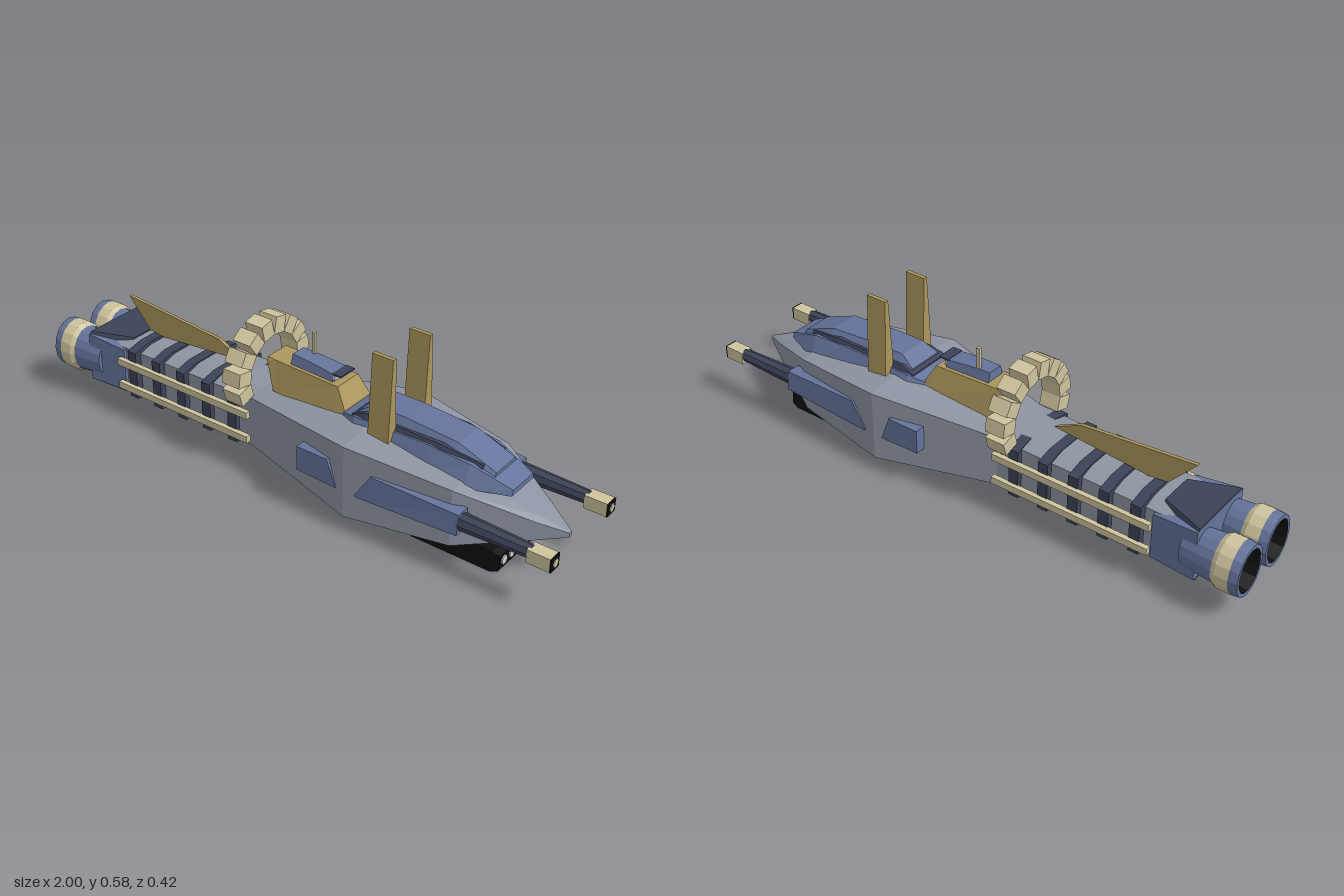
import * as THREE from 'three';

const mat = (name, color) => Object.assign(new THREE.MeshStandardMaterial({ color }), { name });

export function createModel() {
  const root = new THREE.Group();
  root.name = 'spaceship';
  const grey = mat('hull grey', 0x8d94a1), blue = mat('armour blue', 0x66749c), dark = mat('dark slate', 0x3d4358);
  const gold = mat('gold', 0xab965c), cream = mat('cream', 0xcfc49e), black = mat('black', 0x0e0e0e);
  const white = mat('lamp white', 0xd0d0d6);

  // Adds a mesh with faceted normals
  function add(name, geo, material, parent = root) {
    const g = geo.index ? geo.toNonIndexed() : geo;
    g.computeVertexNormals();
    const m = new THREE.Mesh(g, material);
    m.name = name;
    parent.add(m);
    return m;
  }

  // Cross-sections run towards +x; points go from the top round by +z
  const quad = (x, lo, wLo, hi, wHi, zc = 0) =>
    [[x, hi, zc - wHi], [x, hi, zc + wHi], [x, lo, zc + wLo], [x, lo, zc - wLo]];
  const oct = (x, w, lo, hi, b = 0.015, k = 0.52) => [
    [x, hi + b, -w * k], [x, hi + b, w * k], [x, hi, w], [x, lo, w],
    [x, lo - b, w * k], [x, lo - b, -w * k], [x, lo, -w], [x, hi, -w]];

  function loft(sections) {
    const n = sections[0].length, pos = [];
    const tri = (...p) => p.forEach(v => pos.push(...v));
    for (let s = 0; s < sections.length - 1; s++) {
      const a = sections[s], b = sections[s + 1];
      for (let i = 0; i < n; i++) {
        const j = (i + 1) % n;
        tri(a[i], a[j], b[i]);
        tri(a[j], b[j], b[i]);
      }
    }
    const first = sections[0], last = sections[sections.length - 1];
    for (let i = 1; i < n - 1; i++) {
      tri(first[0], first[i + 1], first[i]);
      tri(last[0], last[i], last[i + 1]);
    }
    const g = new THREE.BufferGeometry();
    g.setAttribute('position', new THREE.Float32BufferAttribute(pos, 3));
    return g;
  }

  const box = (x0, x1, y0, y1, z0, z1) => new THREE.BoxGeometry(x1 - x0, y1 - y0, z1 - z0)
    .translate((x0 + x1) / 2, (y0 + y1) / 2, (z0 + z1) / 2);

  // Flat outline in x and y, given thickness around z
  function plate(points, thick, z = 0) {
    const shape = new THREE.Shape(points.map(p => new THREE.Vector2(...p)));
    return new THREE.ExtrudeGeometry(shape, { depth: thick, bevelEnabled: false }).translate(0, 0, z - thick / 2);
  }

  // Turned part about an x axis; points are [radius, x] going from front to back
  function turned(points, y, z, sides = 16, squash = 1) {
    return new THREE.LatheGeometry(points.map(([r, x]) => new THREE.Vector2(r, -x)), sides)
      .rotateZ(Math.PI / 2).scale(1, 1, squash).translate(0, y, z);
  }

  // Main hull
  add('hull', loft([
    oct(-0.8, 0.105, 0.1, 0.25), oct(-0.13, 0.115, 0.09, 0.268), oct(0.3, 0.208, 0.055, 0.305),
    oct(0.65, 0.157, 0.077, 0.272, 0.008), oct(0.87, 0.052, 0.137, 0.2, 0.008), oct(0.955, 0.007, 0.16, 0.175, 0.001),
  ]), grey);

  // Ribs round the rear section
  for (const x of [-0.645, -0.535, -0.425, -0.315, -0.205])
    add('rib', loft([oct(x - 0.018, 0.132, 0.09, 0.265), oct(x + 0.018, 0.132, 0.09, 0.265)]), dark);

  // Engine mount with dark top and bottom
  add('engineMount', loft([quad(-0.85, 0.09, 0.13, 0.265, 0.13), quad(-0.695, 0.09, 0.118, 0.25, 0.118)]), blue);
  add('engineMountTop', loft([quad(-0.85, 0.262, 0.125, 0.273, 0.12), quad(-0.7, 0.25, 0.07, 0.272, 0.06)]), dark);
  add('engineMountBottom', loft([quad(-0.85, 0.082, 0.12, 0.092, 0.125), quad(-0.7, 0.082, 0.11, 0.092, 0.115)]), dark);

  for (const s of [1, -1]) {
    const side = new THREE.Group();
    side.name = s > 0 ? 'leftSide' : 'rightSide';
    root.add(side);

    // Engine: neck, band, lip and black throat
    const ez = s * 0.083, sq = 0.83;
    add('engineNeck', turned([[0, -0.8], [0.07, -0.8], [0.077, -0.86], [0.083, -0.92]], 0.172, ez, 16, sq), blue, side);
    add('engineBand', turned([[0.083, -0.91], [0.092, -0.925], [0.092, -0.97]], 0.172, ez, 16, sq), cream, side);
    add('engineLip', turned([[0.092, -0.97], [0.088, -1], [0.074, -1]], 0.172, ez, 16, sq), blue, side);
    add('engineThroat', turned([[0.074, -1], [0.055, -0.9], [0, -0.89]], 0.172, ez, 16, sq), black, side);

    // Long rails beside the ribs
    for (const y of [0.127, 0.217])
      add('rail', box(-0.7, -0.13, y - 0.012, y + 0.012, s * 0.138 - 0.009, s * 0.138 + 0.009), cream, side);

    // Rear side panel and gun housing
    add('sidePanel', plate([[0.12, 0.15], [0.27, 0.145], [0.235, 0.235], [0.12, 0.235]], 0.07, s * 0.17), blue, side);
    add('gunHousing', loft([
      quad(0.34, 0.145, 0.034, 0.15, 0.034, s * 0.172), quad(0.395, 0.146, 0.033, 0.235, 0.029, s * 0.172),
      quad(0.695, 0.155, 0.03, 0.224, 0.024, s * 0.165),
    ]), blue, side);

    // Gun barrel and square muzzle
    add('gunBarrel', turned([[0, 0.925], [0.022, 0.925], [0.029, 0.69]], 0.19, s * 0.165, 8), dark, side);
    add('muzzle', box(0.918, 0.992, 0.163, 0.208, s * 0.165 - 0.023, s * 0.165 + 0.023), cream, side);
    add('muzzleFace', box(0.992, 0.997, 0.163, 0.208, s * 0.165 - 0.023, s * 0.165 + 0.023), black, side);
    add('muzzleCore', turned([[0, 1], [0.014, 1], [0.014, 0.995]], 0.186, s * 0.165, 6), cream, side);

    // Tall tapered fin beside the canopy
    const fin = box(0.32, 0.395, 0.285, 0.585, -1, 1);
    const p = fin.attributes.position;
    for (let i = 0; i < p.count; i++)
      p.setZ(i, s * 0.095 + Math.sign(p.getZ(i)) * (p.getY(i) > 0.4 ? 0.007 : 0.022));
    add('tallFin', fin, gold, side);
  }

  // Arch of blocks
  const arch = new THREE.Group();
  arch.name = 'blockArch';
  root.add(arch);
  for (let i = 0; i < 10; i++) {
    const a = THREE.MathUtils.degToRad((i - 4.5) * 23.5);
    add('archBlock', box(-0.2, -0.13, 0.117, 0.175, -0.0245, 0.0245).rotateX(a).translate(0, 0.331, 0), cream, arch);
  }

  // Tail fin on the centre line
  add('tailFin', plate([[-0.765, 0.39], [-0.675, 0.287], [-0.61, 0.28], [-0.267, 0.31], [-0.363, 0.357]], 0.012), gold);

  // Turret base, turret, window and mast
  add('turretBase', loft([
    quad(-0.12, 0.385, 0.05, 0.395, 0.045), quad(-0.085, 0.29, 0.066, 0.393, 0.047),
    quad(0.16, 0.29, 0.075, 0.388, 0.052), quad(0.197, 0.29, 0.075, 0.325, 0.066),
  ]), gold);
  add('turret', loft([
    quad(-0.035, 0.385, 0.038, 0.425, 0.027), quad(0.04, 0.385, 0.038, 0.422, 0.03), quad(0.13, 0.385, 0.04, 0.412, 0.034),
  ]), blue);
  add('turretHood', box(0.125, 0.16, 0.41, 0.415, -0.035, 0.035), dark);
  add('turretWindow', box(0.13, 0.137, 0.393, 0.41, -0.036, 0.036), white);
  add('mast', box(0.006, 0.018, 0.41, 0.497, -0.028, -0.017), cream);

  // Stepped canopy
  add('canopyBase', loft([
    quad(0.17, 0.285, 0.07, 0.312, 0.06), quad(0.25, 0.275, 0.115, 0.335, 0.088), quad(0.52, 0.272, 0.115, 0.34, 0.088),
    quad(0.66, 0.262, 0.115, 0.325, 0.08), quad(0.79, 0.26, 0.062, 0.278, 0.055),
  ]), blue);
  add('canopyFrame', loft([
    quad(0.235, 0.32, 0.082, 0.335, 0.078), quad(0.28, 0.32, 0.09, 0.352, 0.076),
    quad(0.56, 0.32, 0.09, 0.35, 0.076), quad(0.69, 0.3, 0.075, 0.325, 0.06),
  ]), dark);
  add('canopyTop', loft([
    quad(0.25, 0.33, 0.072, 0.345, 0.064), quad(0.3, 0.33, 0.08, 0.376, 0.052), quad(0.41, 0.33, 0.08, 0.376, 0.052),
    quad(0.6, 0.33, 0.075, 0.362, 0.052), quad(0.73, 0.29, 0.066, 0.311, 0.052),
  ]), blue);

  // Launcher under the nose with four lamps
  add('launcher', loft([
    quad(0.48, 0, 0.1, 0.07, 0.095), quad(0.76, 0, 0.1, 0.07, 0.095), quad(0.785, 0.01, 0.095, 0.06, 0.09),
  ]), black);
  for (const z of [-0.066, -0.022, 0.022, 0.066])
    add('launcherLamp', turned([[0, 0.789], [0.015, 0.789], [0.015, 0.783]], 0.037, z, 16), white);

  return root;
}
